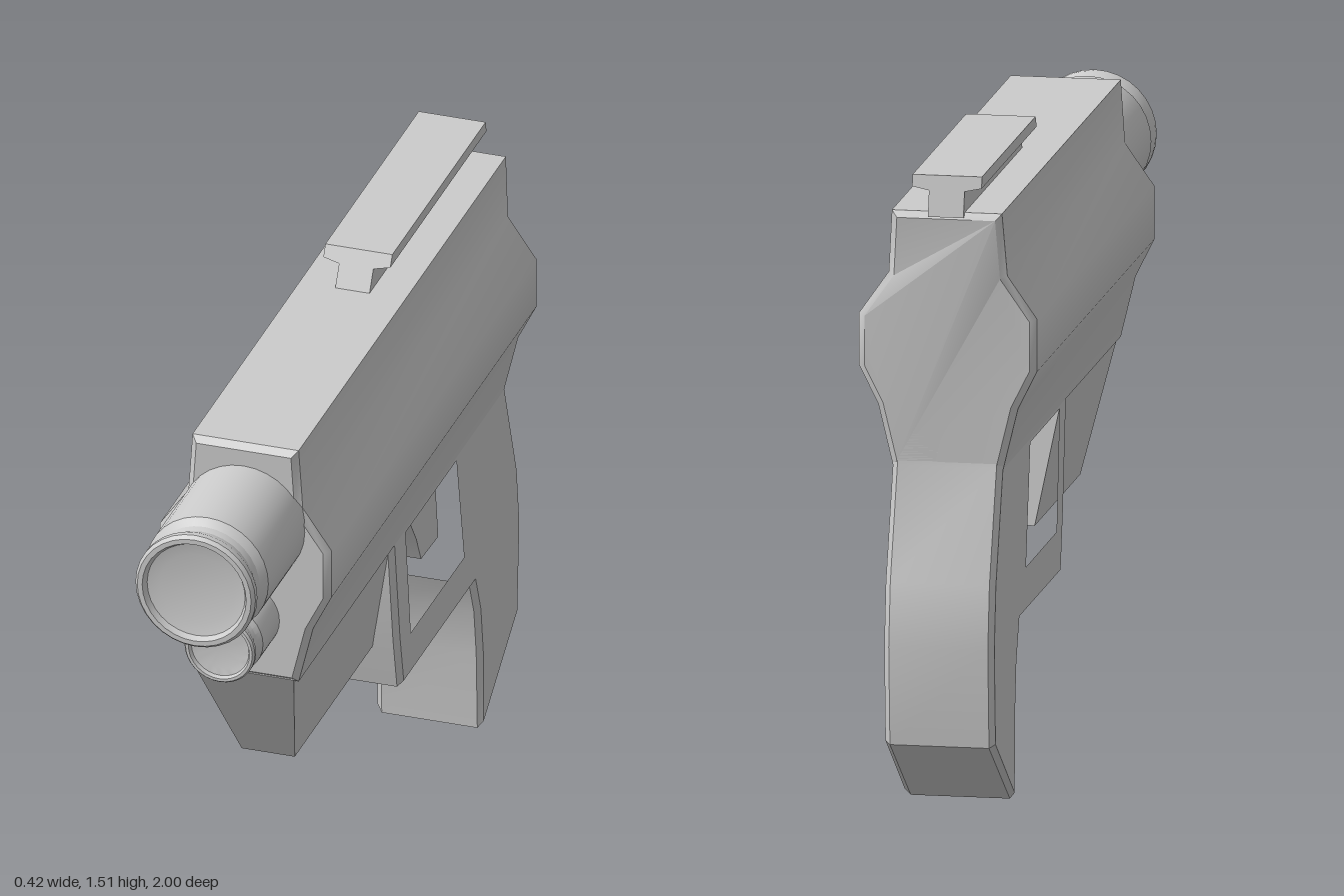
import * as THREE from 'three';
import { toCreasedNormals } from 'three/addons/utils/BufferGeometryUtils.js';

const material = new THREE.MeshStandardMaterial({ color: 0xcccccc });
const points = (list) => list.map(([x, y]) => new THREE.Vector2(x, y));

// Extrude an outline to a centred depth; the bevel stays inside the outline.
function slab(outline, depth, bevel = 0, hole = null) {
  const shape = new THREE.Shape(points(outline));
  if (hole) shape.holes.push(new THREE.Path(points(hole)));
  const length = depth - 2 * bevel;
  return new THREE.ExtrudeGeometry(shape, {
    depth: length, bevelEnabled: bevel > 0, bevelThickness: bevel,
    bevelSize: bevel, bevelOffset: -bevel, bevelSegments: 1,
  }).translate(0, 0, -length / 2);
}

// Side profile given as (z, y), extruded across x.
const sideSlab = (...args) => slab(...args).rotateY(-Math.PI / 2);

// Full outline from the right half of a section.
const mirrored = (half) => [...half, ...half.map(([x, y]) => [-x, y]).reverse()];

// Move every vertex by a rule.
function warp(geometry, rule) {
  const p = geometry.attributes.position;
  const v = new THREE.Vector3();
  for (let i = 0; i < p.count; i++) {
    rule(v.fromBufferAttribute(p, i));
    p.setXYZ(i, v.x, v.y, v.z);
  }
  geometry.computeVertexNormals();
  return geometry;
}

export function createModel() {
  const model = new THREE.Group();
  const add = (name, geometry, crease = 0.7) => {
    const mesh = new THREE.Mesh(toCreasedNormals(geometry, crease), material);
    mesh.name = name;
    model.add(mesh);
    return mesh;
  };

  // Main body: faceted section along z, top rear edge leaning back
  const section = mirrored([[0.13, 0.815], [0.165, 0.96], [0.21, 1.05],
    [0.21, 1.175], [0.14, 1.275], [0.13, 1.425]]);
  const body = slab(section, 1.525, 0.015).translate(0, 0, -0.1225);
  add('body', warp(body, (v) => {
    if (v.z < 0 && v.y > 1.28) v.z -= 0.1 * (v.y - 1.28);
  }));

  // Grip and trigger guard in one piece
  const gripOutline = [[-0.06, 0.9], [-0.06, 0.82], [-0.1, 0.55], [-0.13, 0.41],
    [-0.655, 0.41], [-0.69, 0.32], [-0.707, 0.2], [-0.715, 0], [-0.98, 0.175],
    [-0.995, 0.41], [-0.975, 0.56], [-0.885, 0.82], [-0.885, 0.9]];
  const guardHole = [[-0.14, 0.82], [-0.18, 0.51], [-0.595, 0.51], [-0.535, 0.82]];
  add('gripAndGuard', sideSlab(gripOutline, 0.26, 0.013, guardHole), 0.5);

  // Trigger
  add('trigger', sideSlab([[-0.26, 0.83], [-0.26, 0.815], [-0.37, 0.73], [-0.44, 0.63],
    [-0.475, 0.56], [-0.6, 0.555], [-0.56, 0.83]], 0.12), 0.5);

  // Tapered housing below the barrel
  const housing = sideSlab([[0.64, 0.825], [0.46, 0.52], [-0.12, 0.52], [-0.08, 0.825]], 2);
  add('lowerHousing', warp(housing, (v) => {
    v.x *= THREE.MathUtils.mapLinear(v.y, 0.52, 0.82, 0.065, 0.122);
  }), 0.4);

  // Sight rail: T section with slanted ends
  const railSection = mirrored([[0.042, 1.415], [0.042, 1.475], [0.082, 1.483], [0.082, 1.51]]);
  const rail = slab(railSection, 1);
  add('sightRail', warp(rail, (v) => {
    const t = (v.y - 1.42) / 0.09;
    v.z = v.z > 0 ? -0.15 - 0.05 * t : -0.9 + 0.02 * t;
  }), 0.3);

  // Barrels: turned profiles with a flared muzzle and shallow dish
  const barrel = (name, y, r, neckZ, frontZ) => {
    const length = frontZ - neckZ;
    const profile = [[r, 0.6], [r, neckZ], [r * 0.9, neckZ + length * 0.2],
      [r * 0.88, neckZ + length * 0.4], [r * 0.98, neckZ + length * 0.75],
      [r * 0.98, neckZ + length * 0.9], [r * 0.93, frontZ], [r * 0.85, frontZ],
      [r * 0.8, frontZ - length * 0.15], [r * 0.6, frontZ - length * 0.22],
      [0, frontZ - length * 0.22]];
    const geometry = new THREE.LatheGeometry(points(profile), 32).rotateX(Math.PI / 2);
    add(name, geometry, 0.5).position.y = y;
  };
  barrel('mainBarrel', 1.22, 0.15, 0.905, 1);
  barrel('lowerBarrel', 0.975, 0.088, 0.76, 0.82);

  return model;
}
